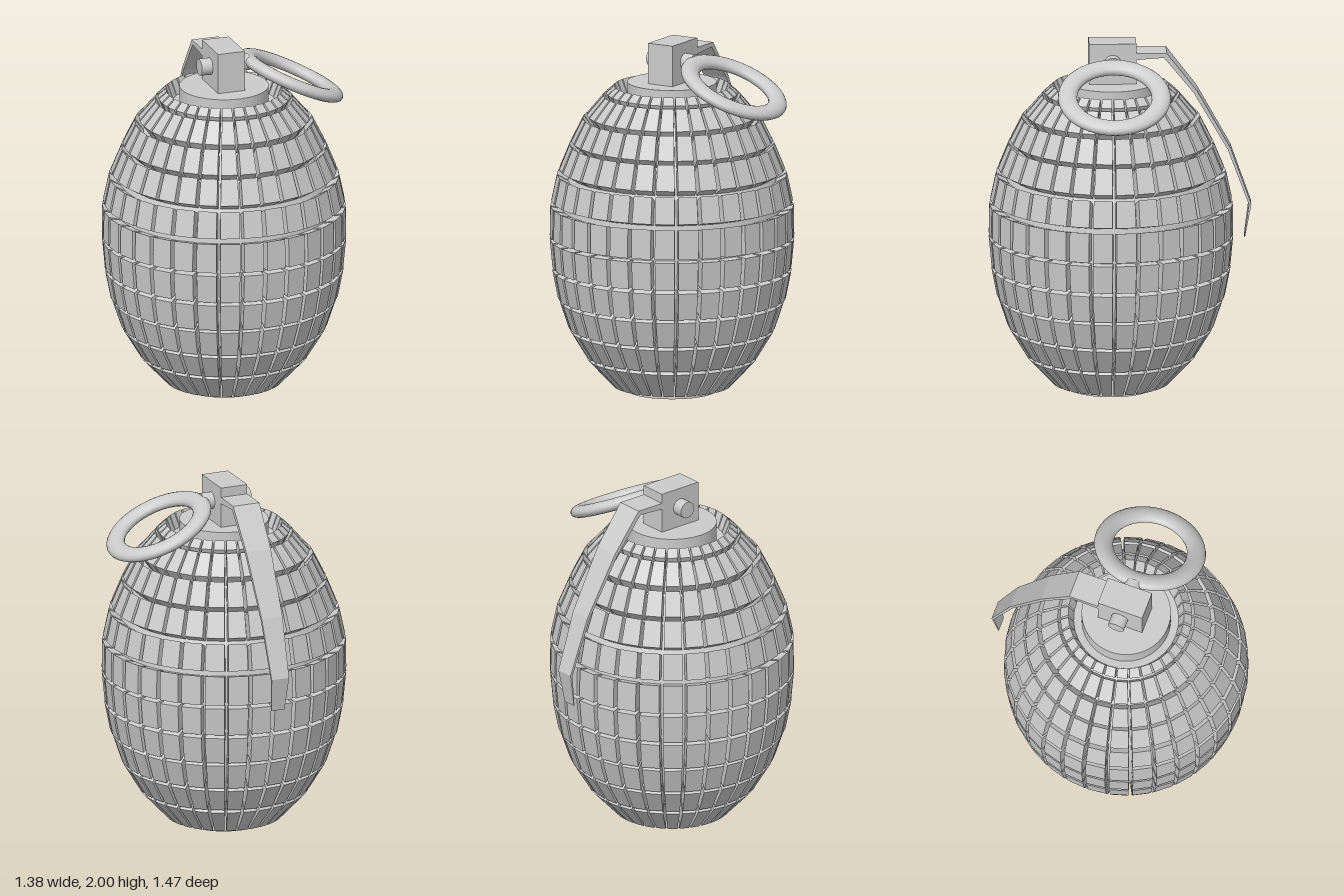
import * as THREE from 'three';
import { mergeGeometries } from 'three/addons/utils/BufferGeometryUtils.js';

const COLUMNS = 32, DEPTH = 0.9, MID_Y = 0.88;
const CENTRE = [-0.005, 0, 0.05];

// Rows of the shell: lower y, lower radius, upper y, upper radius
const ROWS = [
  [0.03, 0.33, 0.185, 0.475], [0.205, 0.485, 0.345, 0.57], [0.365, 0.58, 0.515, 0.63],
  [0.535, 0.64, 0.69, 0.67], [0.71, 0.67, 0.87, 0.685], [0.89, 0.685, 1.06, 0.682],
  [1.09, 0.677, 1.24, 0.645], [1.27, 0.632, 1.41, 0.575], [1.43, 0.565, 1.56, 0.5],
  [1.58, 0.478, 1.69, 0.385], [1.705, 0.37, 1.745, 0.325],
];

const sink = (y, k) => MID_Y + (y - MID_Y) * k;

// One shell block: a box bent into a wedge that narrows towards the body centre
function block([y0, r0, y1, r1], column) {
  const g = new THREE.BoxGeometry(1, 1, 1), p = g.attributes.position;
  for (let i = 0; i < p.count; i++) {
    const outer = p.getZ(i) > 0, top = p.getY(i) > 0;
    const k = outer ? 1 : DEPTH;
    const a = (column + 0.5 + p.getX(i) * (outer ? 0.83 : 0.9)) * Math.PI * 2 / COLUMNS;
    const r = (top ? r1 : r0) * k;
    p.setXYZ(i, r * Math.sin(a), sink(top ? y1 : y0, k), r * Math.cos(a));
  }
  g.computeVertexNormals();
  return g;
}

// Thin strip following [z, y, half width] stations, with flat faces
function strip(stations, thickness) {
  const parts = [];
  const normals = stations.map((s, i) => {
    const a = stations[Math.max(i - 1, 0)], b = stations[Math.min(i + 1, stations.length - 1)];
    return new THREE.Vector2(b[1] - a[1], a[0] - b[0]).normalize();
  });
  for (let s = 0; s < stations.length - 1; s++) {
    const g = new THREE.BoxGeometry(1, 1, 1), p = g.attributes.position;
    for (let i = 0; i < p.count; i++) {
      const j = p.getZ(i) > 0 ? s : s + 1;
      const [z, y, w] = stations[j];
      const t = p.getY(i) > 0 ? 0 : -thickness[j];
      p.setXYZ(i, Math.sign(p.getX(i)) * w, y + normals[j].y * t, z + normals[j].x * t);
    }
    g.computeVertexNormals();
    parts.push(g);
  }
  return mergeGeometries(parts);
}

export function createModel() {
  const model = new THREE.Group();
  const flat = new THREE.MeshStandardMaterial({ color: 0xcccccc, flatShading: true });
  const smooth = new THREE.MeshStandardMaterial({ color: 0xcccccc });
  const add = (name, geometry, material, position = [0, 0, 0]) => {
    const mesh = new THREE.Mesh(geometry, material);
    mesh.name = name;
    mesh.position.set(...position);
    model.add(mesh);
    return mesh;
  };

  // Inner body with the foot and the neck
  const profile = [[0, 0], [0.25, 0], [0.25, 0.12], [0.3, 0.12]];
  for (const [y0, r0, y1, r1] of ROWS) {
    const k = DEPTH + 0.005;
    profile.push([r0 * k, sink(y0, k)], [r1 * k, sink(y1, k)]);
  }
  profile.push([0.25, 1.66], [0.25, 1.768], [0, 1.768]);
  add('core', new THREE.LatheGeometry(profile.map((q) => new THREE.Vector2(...q)), 64), flat, CENTRE);

  // Segmented shell
  ROWS.forEach((row, i) => {
    const blocks = Array.from({ length: COLUMNS }, (_, c) => block(row, c));
    add('shellRow' + (i + 1), mergeGeometries(blocks), flat, CENTRE);
  });

  // Lever housing and safety lever
  add('leverHousing', new THREE.BoxGeometry(0.16, 0.26, 0.265), flat, [-0.005, 1.87, 0.0425]);
  add('lever', strip([
    [-0.05, 1.945, 0.08], [-0.26, 1.945, 0.08], [-0.43, 1.725, 0.075],
    [-0.62, 1.385, 0.063], [-0.735, 1.06, 0.053], [-0.7, 0.865, 0.04],
  ], [0.04, 0.03, 0.022, 0.018, 0.014, 0.004]), flat, [-0.005, 0, 0]);

  // Cross pin
  const pin = new THREE.CylinderGeometry(0.048, 0.048, 0.29, 24).rotateZ(Math.PI / 2);
  add('pin', pin, smooth, [-0.005, 1.888, 0.042]);

  // Pull ring with a flattened tube, hanging down to one side
  const ring = new THREE.TorusGeometry(0.263, 0.054, 16, 48).scale(1, 1, 0.65);
  ring.rotateX(Math.PI / 2).rotateZ(-0.44);
  add('pullRing', ring, smooth, [0.397, 1.775, 0.043]);

  return model;
}
